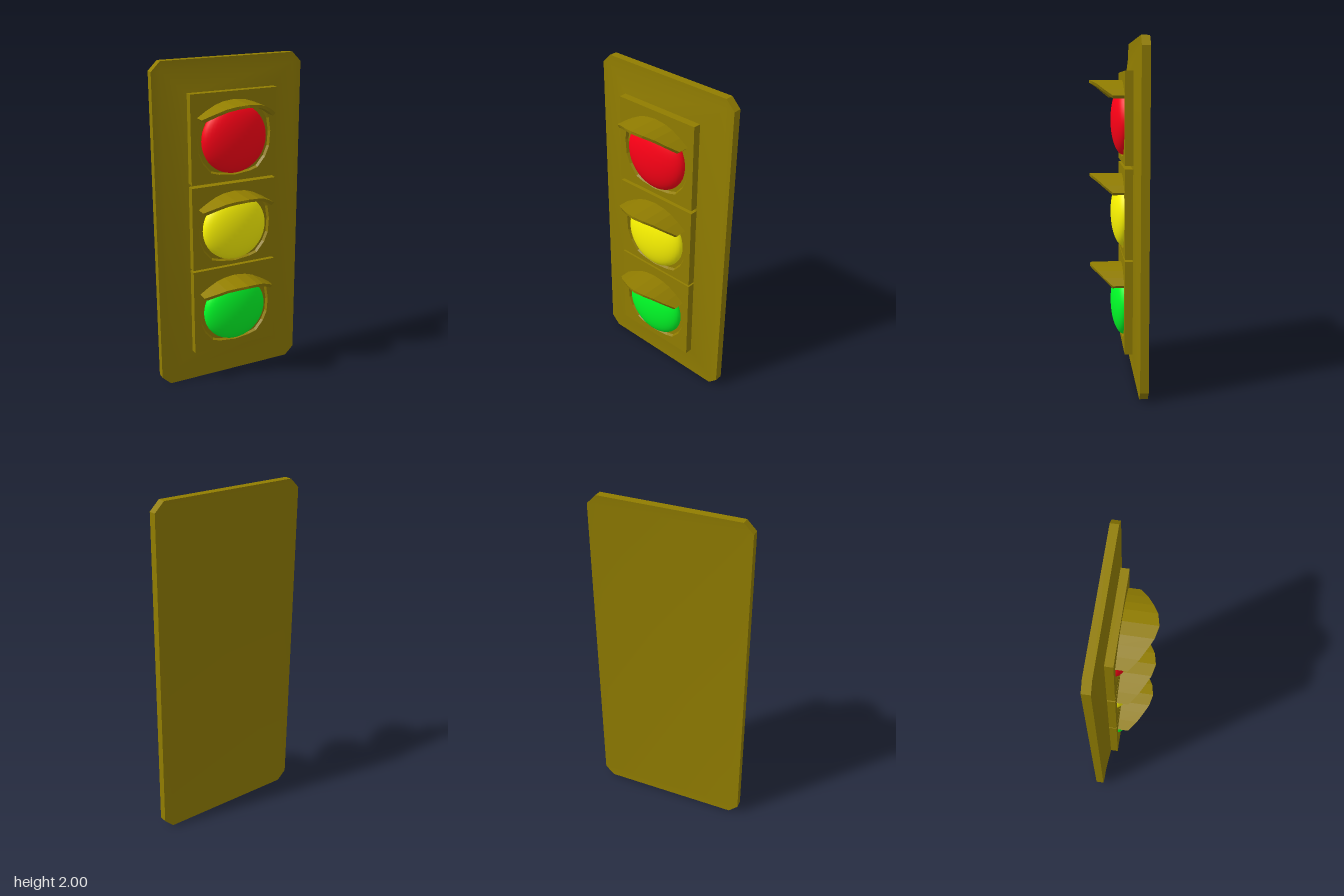
import * as THREE from 'three';
import { toCreasedNormals } from 'three/addons/utils/BufferGeometryUtils.js';

const bodyMaterial = new THREE.MeshStandardMaterial({ color: 0x917d00 });
const flatBodyMaterial = new THREE.MeshStandardMaterial({ color: 0x917d00, flatShading: true });

// Skin a list of closed rings of [x, y, z] points, with optional fan caps.
function loft(rings, capStart, capEnd) {
  const n = rings[0].length;
  const index = [];
  for (let r = 0; r < rings.length - 1; r++) {
    for (let j = 0; j < n; j++) {
      const k = (j + 1) % n;
      const a = r * n + j, b = r * n + k, c = (r + 1) * n + k, d = (r + 1) * n + j;
      index.push(a, b, c, a, c, d);
    }
  }
  const last = (rings.length - 1) * n;
  for (let j = 1; j < n - 1; j++) {
    if (capStart) index.push(0, j + 1, j);
    if (capEnd) index.push(last, last + j, last + j + 1);
  }
  const geometry = new THREE.BufferGeometry();
  geometry.setAttribute('position', new THREE.Float32BufferAttribute(rings.flat(2), 3));
  geometry.setIndex(index);
  geometry.computeVertexNormals();
  return geometry;
}

function addMesh(parent, name, geometry, material) {
  const mesh = new THREE.Mesh(geometry, material);
  mesh.name = name;
  parent.add(mesh);
  return mesh;
}

// Rectangle ring with corners cut by c; c = 0 doubles the corner points.
function plateRing(w, y0, y1, c, z) {
  return [
    [-w + c, y0, z], [w - c, y0, z], [w, y0 + c, z], [w, y1 - c, z],
    [w - c, y1, z], [-w + c, y1, z], [-w, y1 - c, z], [-w, y0 + c, z],
  ];
}

// Plate with a raised front and an almost flat back.
function backplateGeometry() {
  const geometry = loft([
    plateRing(0.41, 0.055, 1.945, 0, -0.151),
    plateRing(0.465, 0, 2, 0.055, -0.155),
    plateRing(0.465, 0, 2, 0.055, -0.107),
    plateRing(0.41, 0.055, 1.945, 0, -0.107),
    plateRing(0.27, 0.21, 1.82, 0, -0.081),
  ], true, true);
  return toCreasedNormals(geometry, 0.6);
}

// Right half of the lamp opening, bottom to top, mirrored to a full loop.
const openingHalf = [
  [0.1, -0.205], [0.15, -0.19], [0.2, -0.13], [0.225, -0.07],
  [0.232, 0.02], [0.22, 0.1], [0.19, 0.15], [0.11, 0.19],
];
const opening = [
  [0, -0.217], ...openingHalf, [0, 0.205],
  ...openingHalf.map(([x, y]) => [-x, y]).reverse(),
];

function housingGeometry(bottom, top) {
  const shape = new THREE.Shape([
    [-0.27, bottom], [0.27, bottom], [0.27, top], [-0.27, top],
  ].map(([x, y]) => new THREE.Vector2(x, y)));
  shape.holes.push(new THREE.Path(opening.map(([x, y]) => new THREE.Vector2(x, y))));
  return new THREE.ExtrudeGeometry(shape, { depth: 0.046, bevelEnabled: false })
    .translate(0, 0, -0.081);
}

function recessGeometry() {
  const ring = (s, z) => opening.map(([x, y]) => [x * s, y * s, z]);
  return loft([ring(1, -0.035), ring(0.96, -0.05)], false, true);
}

// Arched hood: outer x, outer y, inner x, inner y, front z for each station.
function visorGeometry() {
  const half = [
    [0.07, 0.218, 0.06, 0.202, 0.14], [0.12, 0.202, 0.11, 0.186, 0.113],
    [0.175, 0.173, 0.16, 0.159, 0.078], [0.23, 0.138, 0.213, 0.122, 0.03],
  ];
  const stations = [
    ...half.map(([a, b, c, d, e]) => [-a, b, -c, d, e]).reverse(),
    [0, 0.226, 0, 0.21, 0.155],
    ...half,
  ];
  const back = -0.037;
  return loft(stations.map(([ox, oy, ix, iy, z]) => [
    [ox, oy, back], [ox, oy, z], [ix, iy, z], [ix, iy, back],
  ]), true, true);
}

export function createModel() {
  const model = new THREE.Group();
  model.name = 'trafficLight';
  addMesh(model, 'backplate', backplateGeometry(), bodyMaterial);

  const recess = recessGeometry();
  const visor = visorGeometry();
  const lens = new THREE.SphereGeometry(0.203, 40, 24);

  // Three stacked signal units
  const units = [
    { name: 'red', y: 1.548, bottom: 1.3, top: 1.82, color: 0xff0016 },
    { name: 'yellow', y: 1.008, bottom: 0.77, top: 1.28, color: 0xfff800 },
    { name: 'green', y: 0.47, bottom: 0.215, top: 0.757, color: 0x00ff28 },
  ];
  for (const { name, y, bottom, top, color } of units) {
    const unit = new THREE.Group();
    unit.name = name + 'Signal';
    unit.position.y = y;
    addMesh(unit, 'housing', housingGeometry(bottom - y, top - y), flatBodyMaterial);
    addMesh(unit, 'recess', recess, flatBodyMaterial);
    addMesh(unit, 'visor', visor, flatBodyMaterial);
    const lamp = addMesh(unit, name + 'Lamp', lens, new THREE.MeshStandardMaterial({ color }));
    lamp.scale.z = 0.075 / 0.203;
    lamp.position.set(0.001, -0.004, -0.045);
    model.add(unit);
  }
  return model;
}
